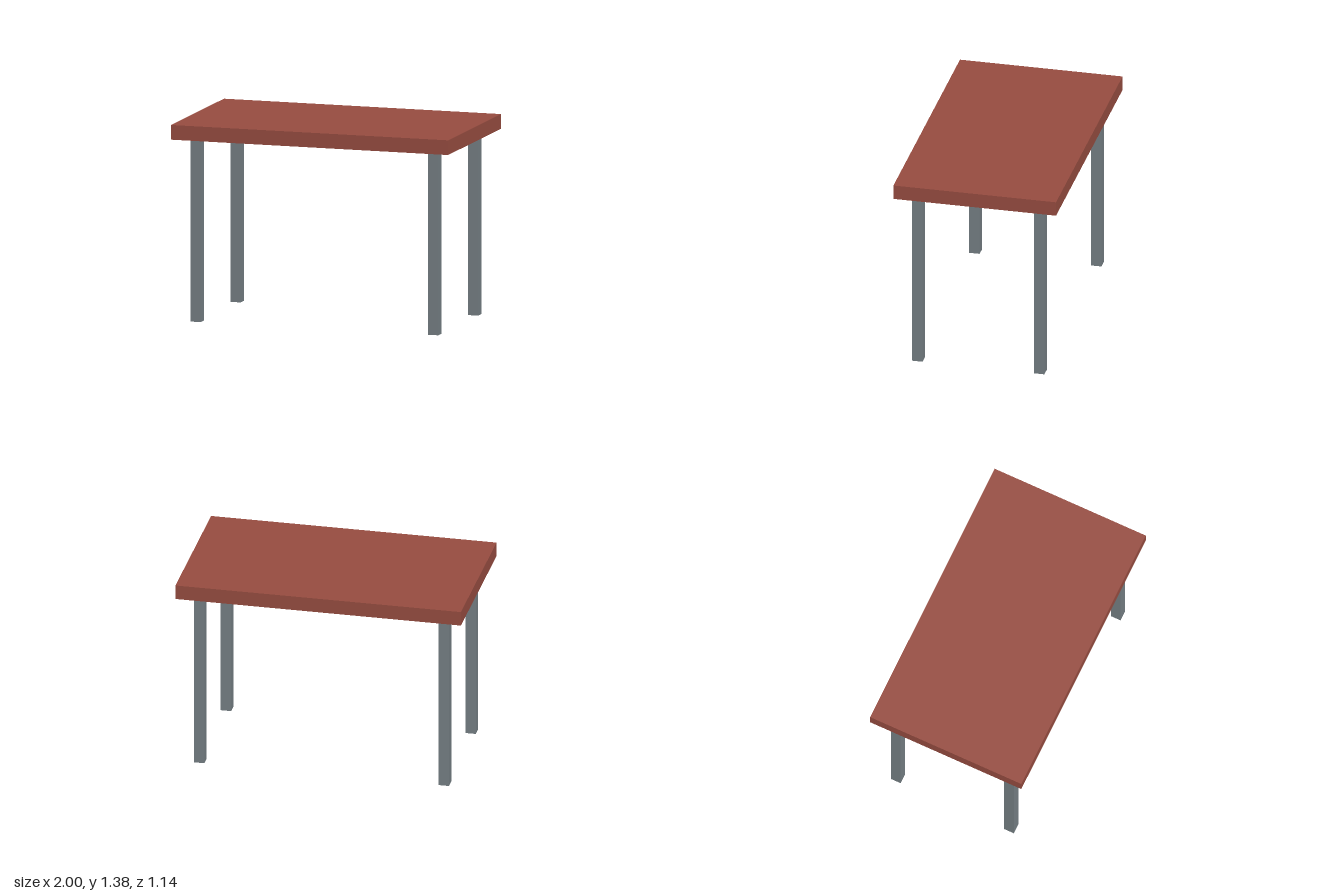
import * as THREE from 'three';

const LEG_HEIGHT = 1.274;
const LEG_WIDTH = 0.073;
const TOP = { width: 2, thickness: 0.102, depth: 1.143 };

export function createModel() {
  const table = new THREE.Group();
  table.name = 'table';

  const topMaterial = new THREE.MeshStandardMaterial({ color: 0x964c40 });
  const legMaterial = new THREE.MeshStandardMaterial({ color: 0x757f84 });

  // Table top
  const top = new THREE.Mesh(new THREE.BoxGeometry(TOP.width, TOP.thickness, TOP.depth), topMaterial);
  top.name = 'tableTop';
  top.position.y = LEG_HEIGHT + TOP.thickness / 2;
  table.add(top);

  // Four square legs, inset from the corners
  const legGeometry = new THREE.BoxGeometry(LEG_WIDTH, LEG_HEIGHT, LEG_WIDTH);
  for (const [endName, z] of [['front', 0.428], ['back', -0.428]]) {
    for (const [sideName, x] of [['Left', 0.857], ['Right', -0.857]]) {
      const leg = new THREE.Mesh(legGeometry, legMaterial);
      leg.name = `${endName}${sideName}Leg`;
      leg.position.set(x, LEG_HEIGHT / 2, z);
      table.add(leg);
    }
  }

  return table;
}
